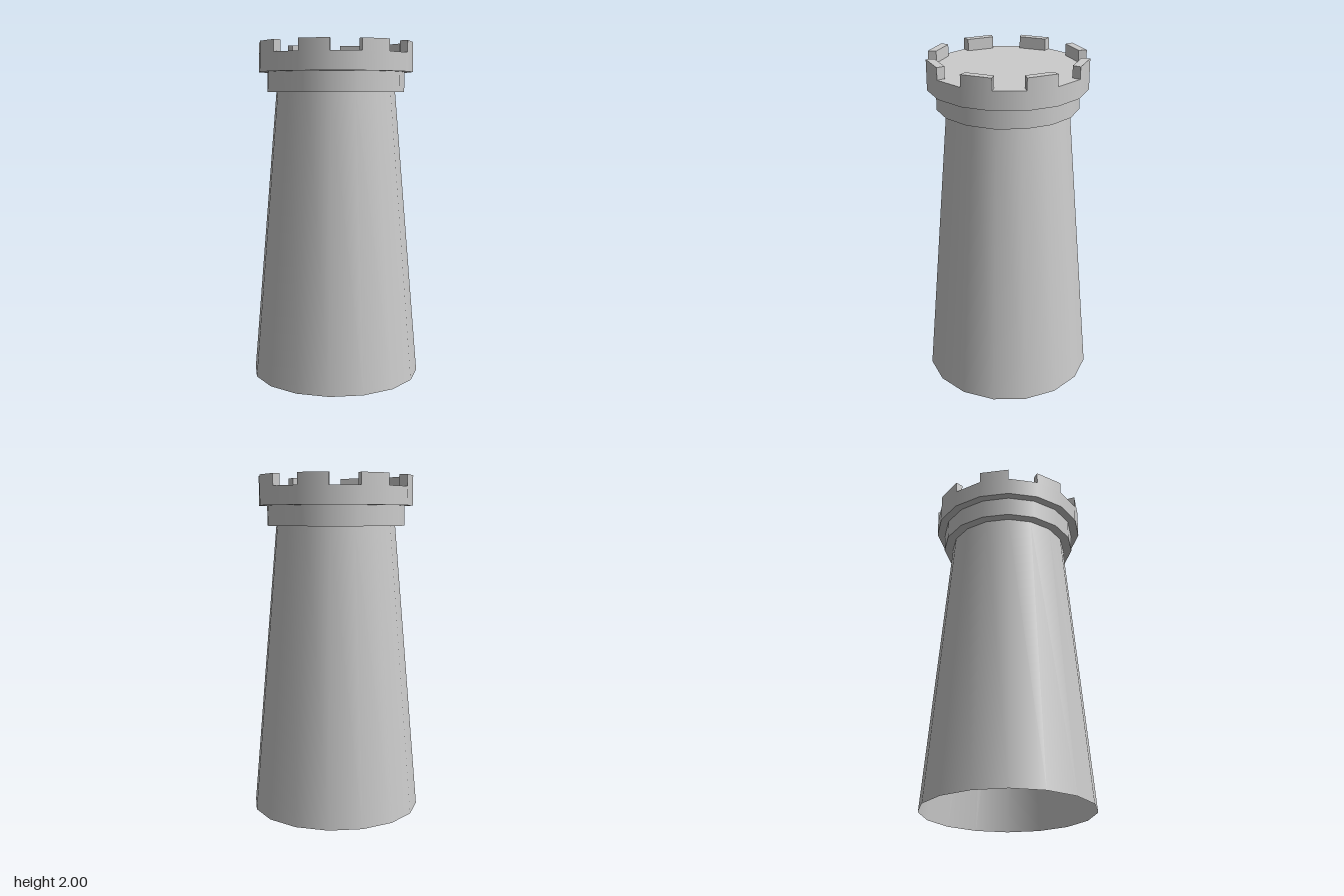
import * as THREE from 'three';

const SIDES = 16;
const CROWN_R = 0.458, INNER_R = 0.41, FLOOR_Y = 1.932, TOP_Y = 2;

const material = new THREE.MeshStandardMaterial({ color: 0xcccccc, side: THREE.DoubleSide });

// One band of the tower, smooth around the axis, sharp where it meets its neighbours
function band(name, from, to) {
  const points = [new THREE.Vector2(...from), new THREE.Vector2(...to)];
  const mesh = new THREE.Mesh(new THREE.LatheGeometry(points, SIDES), material);
  mesh.name = name;
  return mesh;
}

// A merlon fills one side of the crown, starting at the given angle
function merlonGeometry(start) {
  const end = start + (Math.PI * 2) / SIDES;
  const at = (r, a) => new THREE.Vector2(r * Math.sin(a), r * Math.cos(a));
  const shape = new THREE.Shape([at(CROWN_R, start), at(CROWN_R, end), at(INNER_R, end), at(INNER_R, start)]);
  const geometry = new THREE.ExtrudeGeometry(shape, { depth: TOP_Y - FLOOR_Y, bevelEnabled: false });
  geometry.rotateX(-Math.PI / 2).translate(0, FLOOR_Y, 0);

  // Outer face takes radial normals so it shades on from the crown wall
  const { position, normal } = geometry.attributes;
  for (let i = 0; i < position.count; i++) {
    const radial = new THREE.Vector3(position.getX(i), 0, position.getZ(i)).normalize();
    const n = new THREE.Vector3().fromBufferAttribute(normal, i);
    if (n.dot(radial) > 0.9) normal.setXYZ(i, radial.x, 0, radial.z);
  }
  return geometry;
}

export function createModel() {
  const tower = new THREE.Group();
  tower.name = 'tower';

  // Tapered shaft, open at the foot, then two stepped rings and the roof floor
  const profile = [
    ['shaft', [0.503, 0]],
    ['collarUnderside', [0.355, 1.708]],
    ['collarWall', [0.409, 1.708]],
    ['crownUnderside', [0.409, 1.825]],
    ['crownWall', [CROWN_R, 1.825]],
    ['roofFloor', [CROWN_R, FLOOR_Y]],
    [null, [0, FLOOR_Y]],
  ];
  for (let i = 0; i < profile.length - 1; i++) {
    tower.add(band(profile[i][0], profile[i][1], profile[i + 1][1]));
  }

  // Merlons on every other side of the crown
  const merlons = new THREE.Group();
  merlons.name = 'merlons';
  for (let i = 0; i < SIDES; i += 2) {
    const merlon = new THREE.Mesh(merlonGeometry((i * Math.PI * 2) / SIDES), material);
    merlon.name = 'merlon';
    merlons.add(merlon);
  }
  tower.add(merlons);
  return tower;
}
